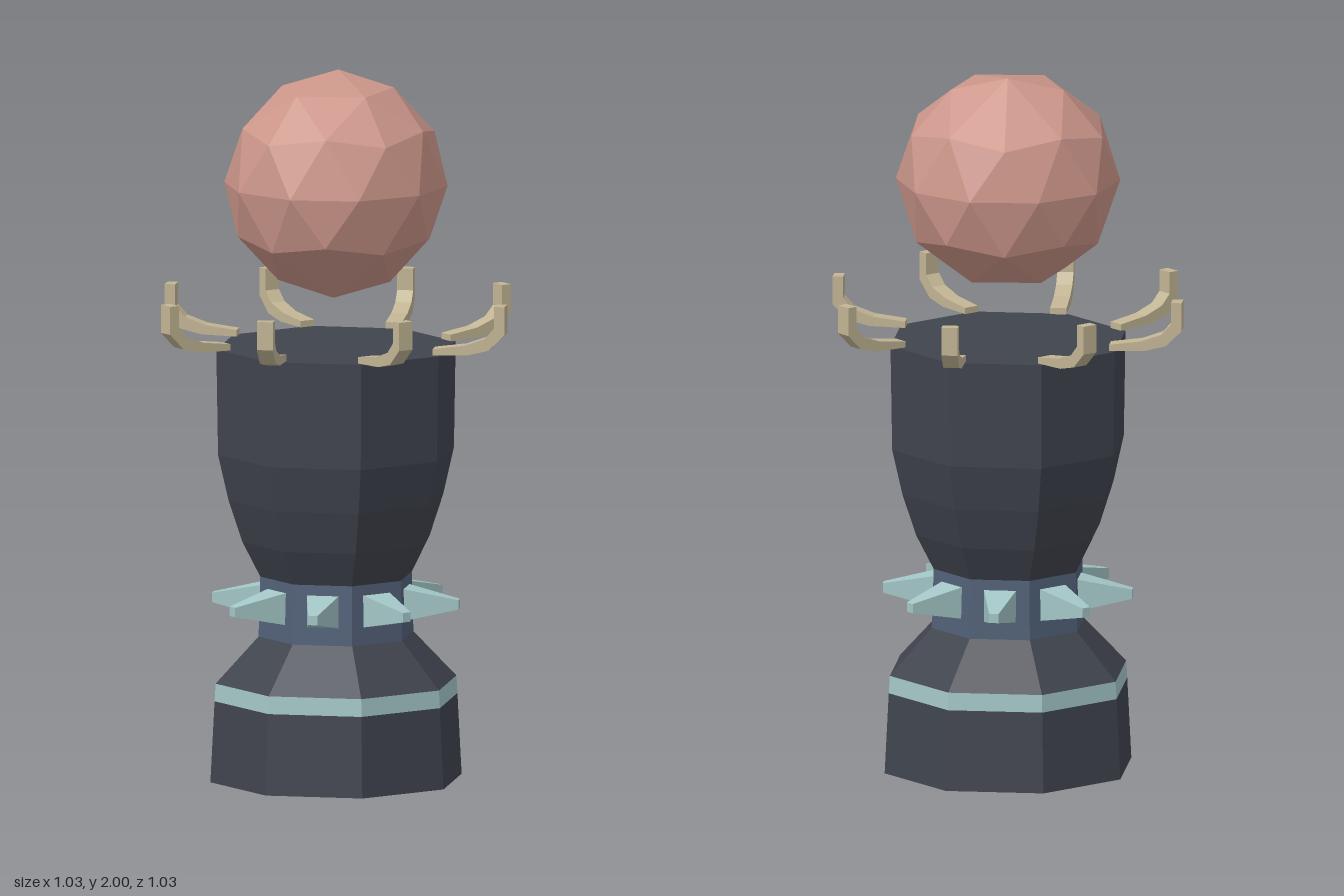
import * as THREE from 'three';

const mat = (color) => new THREE.MeshStandardMaterial({ color, flatShading: true });

export function createModel() {
  const group = new THREE.Group();
  const dark = mat(0x40444e), blue = mat(0x526178), teal = mat(0xa3c6c6);
  const bone = mat(0xc2b594), skin = mat(0xcc968a);

  const add = (name, geometry, material, parent = group) => {
    const mesh = new THREE.Mesh(geometry, material);
    mesh.name = name;
    parent.add(mesh);
    return mesh;
  };
  // Eight-sided turned part from [radius, height] pairs, bottom to top
  const turned = (name, profile, material) =>
    add(name, new THREE.LatheGeometry(profile.map(([r, y]) => new THREE.Vector2(r, y)), 8), material);

  // Octagonal body
  turned('base', [[0, 0], [0.36, 0], [0.348, 0.23]], dark);
  turned('baseBand', [[0.348, 0.23], [0.345, 0.28]], teal);
  turned('shoulder', [[0.345, 0.28], [0.222, 0.41]], dark);
  turned('collar', [[0.222, 0.41], [0.217, 0.58]], blue);
  turned('cup', [[0.217, 0.58], [0.268, 0.68], [0.308, 0.8], [0.338, 0.93], [0.343, 1.23], [0, 1.23]], dark);

  // Blunt square spike pointing along +x
  const spikeGeo = new THREE.CylinderGeometry(0.019, 0.067, 0.16, 4);
  spikeGeo.rotateY(Math.PI / 4).rotateZ(-Math.PI / 2).translate(0.272, 0.505, 0);

  // Upturned claw along +x, set off to one side
  const clawShape = new THREE.Shape([
    [0.3, 1.232], [0.4, 1.235], [0.46, 1.25], [0.505, 1.295], [0.505, 1.375],
    [0.475, 1.375], [0.475, 1.313], [0.448, 1.283], [0.39, 1.262], [0.3, 1.25],
  ].map(([x, y]) => new THREE.Vector2(x, y)));
  const clawGeo = new THREE.ExtrudeGeometry(clawShape, { depth: 0.046, bevelEnabled: false });
  clawGeo.translate(0, 0, 0.085);

  const spikes = new THREE.Group(), claws = new THREE.Group();
  spikes.name = 'collarSpikes';
  claws.name = 'rimClaws';
  group.add(spikes, claws);
  for (let i = 0; i < 8; i++) {
    const angle = (i + 0.5) * Math.PI / 4;
    add('spike', spikeGeo, teal, spikes).rotation.y = angle;
    add('claw', clawGeo, bone, claws).rotation.y = angle;
  }

  // Faceted ball, one corner up; each pole is merged with a neighbouring corner
  const R = 0.315;
  const ballGeo = new THREE.IcosahedronGeometry(R, 1);
  ballGeo.rotateX(-Math.atan((1 + Math.sqrt(5)) / 2)).rotateY(Math.PI / 2);
  const pole = new THREE.Vector3(0, R, 0);
  const neighbour = new THREE.Vector3(0.051, 0.268, -0.157);
  const merged = new THREE.Vector3(0.025, 0.31, -0.085);
  const p = ballGeo.attributes.position, v = new THREE.Vector3();
  for (let i = 0; i < p.count; i++) {
    v.fromBufferAttribute(p, i);
    const s = Math.sign(v.y) || 1;
    v.multiplyScalar(s);
    if (v.distanceTo(pole) < 0.03 || v.distanceTo(neighbour) < 0.03) {
      p.setXYZ(i, s * merged.x, s * merged.y, s * merged.z);
    }
  }
  ballGeo.computeVertexNormals();
  add('ball', ballGeo, skin).position.y = 1.69;

  return group;
}
